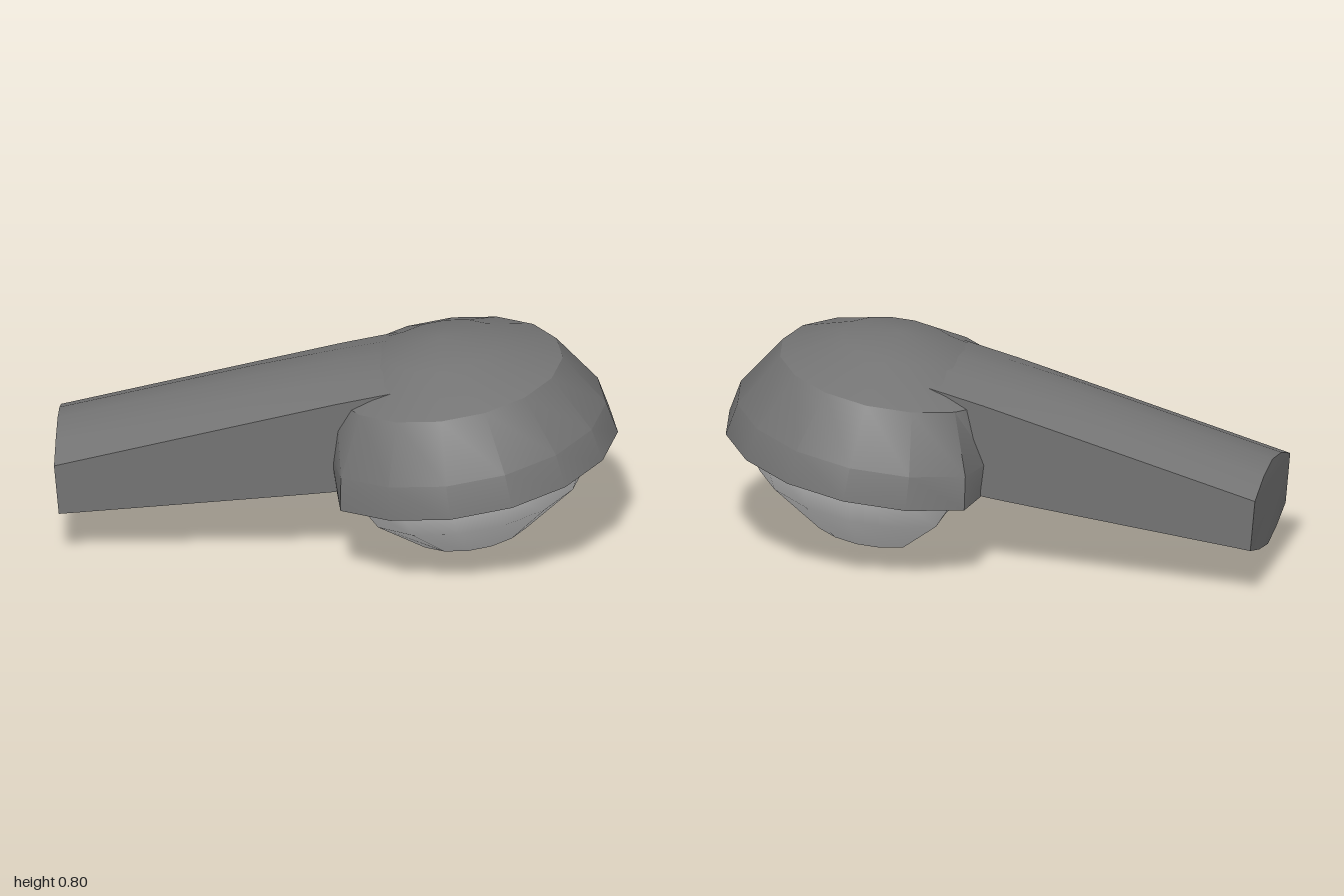
import * as THREE from 'three';
import { toCreasedNormals } from 'three/addons/utils/BufferGeometryUtils.js';

const housingGrey = new THREE.MeshStandardMaterial({ color: 0x737373 });
const lensWhite = new THREE.MeshStandardMaterial({ color: 0xe2e2e2 });

function part(name, geometry, material) {
  const mesh = new THREE.Mesh(geometry, material);
  mesh.name = name;
  return mesh;
}

// 16-sided turned shell, flattened on the -x side where it meets the arm
function turned(profile, limit, crease) {
  const g = new THREE.LatheGeometry(profile.map(([r, y]) => new THREE.Vector2(r, y)), 16);
  const p = g.attributes.position;
  for (let i = 0; i < p.count; i++) p.setX(i, Math.max(p.getX(i), limit(p.getY(i))));
  return toCreasedNormals(g, crease);
}

// Arm section: side edges at z = +-0.25, shallow arched top and bottom
function armSection([x, edge, ridge, lower, keel, lean]) {
  const half = 0.25, top = ridge - edge, low = lower - keel;
  return [
    [x, edge, half], [x, edge + top * 0.7, half / 2], [x, ridge, 0],
    [x, edge + top * 0.7, -half / 2], [x, edge, -half],
    [x + lean, lower, -half], [x + lean, lower - low * 0.62, -half / 2], [x + lean, keel, 0],
    [x + lean, lower - low * 0.62, half / 2], [x + lean, lower, half],
  ];
}

function loft(sections) {
  const n = sections[0].length, index = [];
  for (let s = 0; s < sections.length - 1; s++) {
    for (let i = 0; i < n; i++) {
      const a = s * n + i, b = s * n + (i + 1) % n;
      index.push(a, a + n, b, b, a + n, b + n);
    }
  }
  // end caps
  const last = (sections.length - 1) * n;
  for (let i = 1; i < n - 1; i++) {
    index.push(0, i, i + 1, last, last + i + 1, last + i);
  }
  const g = new THREE.BufferGeometry();
  g.setAttribute('position', new THREE.Float32BufferAttribute(sections.flat(2), 3));
  g.setIndex(index);
  return toCreasedNormals(g, 0.5);
}

export function createModel() {
  const model = new THREE.Group();
  model.name = 'streetLampHead';

  // Arm: x, side edge, ridge, lower side edge, keel, lean of the lower half
  const stations = [
    [-1, 0.375, 0.445, 0.185, 0.12, 0.017],
    [-0.3, 0.563, 0.63, 0.262, 0.209, 0],
    [-0.09, 0.619, 0.677, 0.286, 0.235, 0],
    [0, 0.643, 0.697, 0.297, 0.295, 0],
    [0.3, 0.715, 0.756, 0.37, 0.365, 0],
  ];
  model.add(part('arm', loft(stations.map(armSection)), housingGrey));

  // Lamp head, tilted up away from the arm
  const head = new THREE.Group();
  head.name = 'lampHead';
  head.position.set(0.43, 0.357, 0);
  head.rotation.z = 0.142;
  model.add(head);

  // Dome with its flat underside rim
  const dome = [[0.3, 0], [0.573, 0], [0.548, 0.12], [0.42, 0.316], [0.21, 0.41], [0, 0.448]];
  head.add(part('dome', turned(dome, () => -0.43, 0.5), housingGrey));

  // Bowl lens below, cut at a slant toward the arm
  const lens = [[0, -0.36], [0.22, -0.3], [0.434, -0.128], [0.495, 0]];
  head.add(part('lens', turned(lens, (y) => -0.384 - 0.71 * y, 1), lensWhite));

  return model;
}
